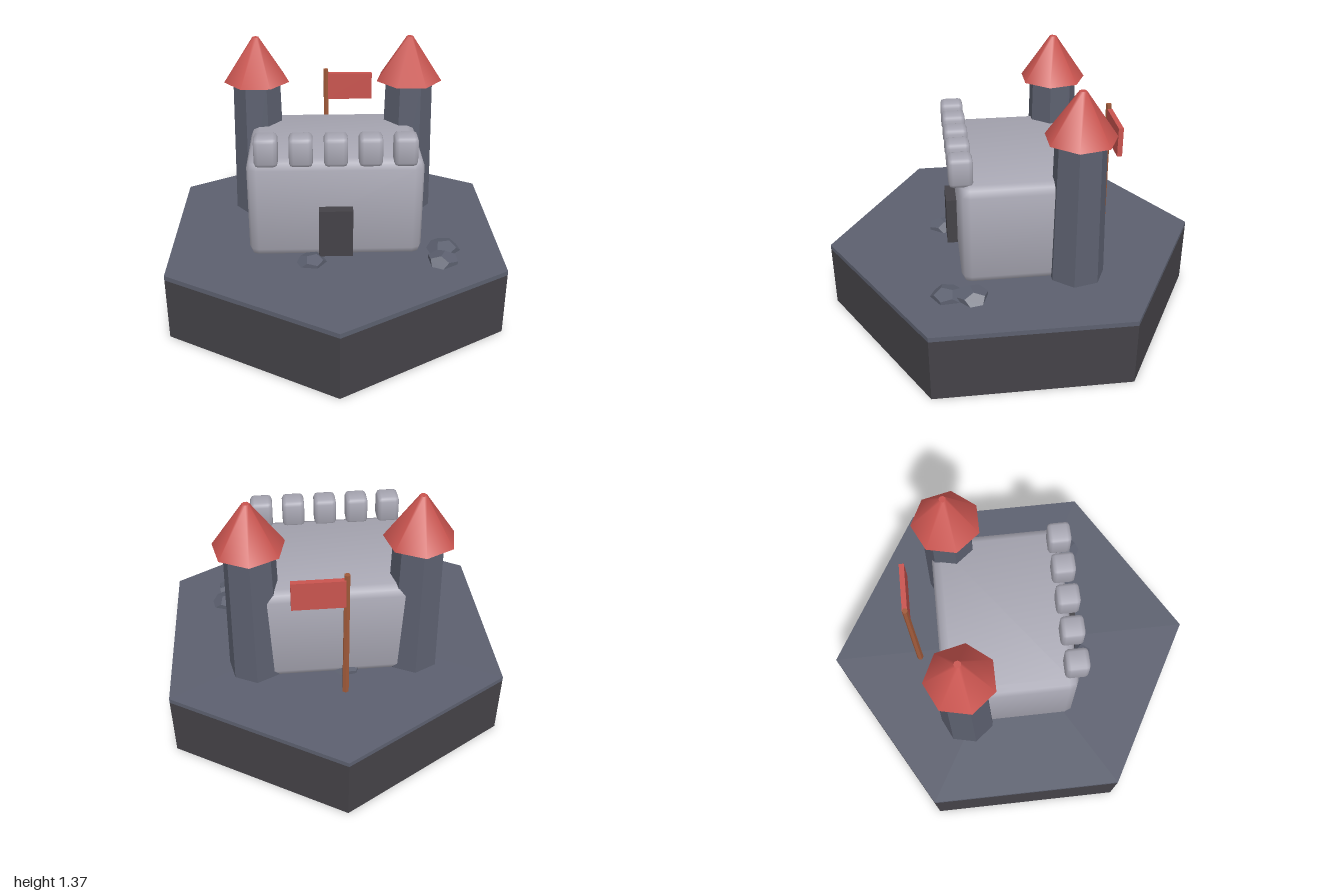
import * as THREE from 'three';
import { RoundedBoxGeometry } from 'three/addons/geometries/RoundedBoxGeometry.js';

const mat = (name, color) => {
  const m = new THREE.MeshStandardMaterial({ color });
  m.name = name;
  return m;
};

// Facetted version of a geometry
function flat(geometry) {
  const g = geometry.toNonIndexed();
  g.computeVertexNormals();
  return g;
}

// Bevelled block whose normals lean toward its corners, for a pillowy look
function softBlock(w, h, d, r) {
  const g = new RoundedBoxGeometry(w, h, d, 1, r);
  const p = g.attributes.position, n = g.attributes.normal;
  const v = new THREE.Vector3(), corner = new THREE.Vector3();
  for (let i = 0; i < p.count; i++) {
    corner.set(Math.sign(p.getX(i)), Math.sign(p.getY(i)), Math.sign(p.getZ(i))).multiplyScalar(0.3);
    v.fromBufferAttribute(n, i).add(corner).normalize();
    n.setXYZ(i, v.x, v.y, v.z);
  }
  return g;
}

export function createModel() {
  const model = new THREE.Group();
  model.name = 'castle';

  const earth = mat('dark earth', 0x444247);
  const slate = mat('slate', 0x5c606f);
  const stone = mat('pale stone', 0xa9a8b4);
  const red = mat('red', 0xc9544f);
  const wood = mat('wood', 0xa05a3a);

  const add = (name, geometry, material, x, y, z) => {
    const mesh = new THREE.Mesh(geometry, material);
    mesh.name = name;
    mesh.position.set(x, y, z);
    model.add(mesh);
    return mesh;
  };

  // Hexagonal ground tile
  add('base', flat(new THREE.CylinderGeometry(1, 1, 0.345, 6)), earth, 0, 0.1725, 0);
  add('ground', flat(new THREE.CylinderGeometry(1, 1, 0.025, 6)), slate, 0, 0.3575, 0);

  // Keep with its door and battlements
  add('keep', softBlock(0.9, 0.55, 0.69, 0.05), stone, 0, 0.627, -0.035);
  add('door', new THREE.BoxGeometry(0.174, 0.26, 0.1), earth, 0, 0.52, 0.315);
  for (let i = -2; i <= 2; i++) {
    add('merlon', softBlock(0.118, 0.153, 0.12, 0.022), stone, i * 0.173, 0.964, 0.298);
  }

  // Seven-sided towers with pointed roofs
  for (const side of [-1, 1]) {
    const x = side * 0.415, z = -0.278;
    add('tower', flat(new THREE.CylinderGeometry(0.13, 0.147, 0.77, 7, 1, false, Math.PI)), slate, x, 0.75, z);
    add('roof', new THREE.CylinderGeometry(0.018, 0.181, 0.24, 7, 1, false, Math.PI), red, x, 1.25, z);
  }

  // Flag on its pole behind the keep
  add('flagPole', flat(new THREE.CylinderGeometry(0.015, 0.018, 0.75, 6)), wood, -0.034, 0.735, -0.518);
  add('flag', new THREE.BoxGeometry(0.26, 0.155, 0.026), red, 0.101, 1.007, -0.522);

  // Rocks half sunk in the ground: x, z, radius, turn
  const rocks = [
    [-0.125, 0.385, 0.078, 0.4],
    [0.57, 0.272, 0.09, 0.2],
    [0.55, 0.393, 0.086, 1.1],
    [-0.06, -0.345, 0.074, 0.7],
  ];
  for (const [x, z, r, turn] of rocks) {
    const rock = add('rock', new THREE.DodecahedronGeometry(r), slate, x, 0.37, z);
    rock.scale.y = 0.55;
    rock.rotation.y = turn;
  }

  return model;
}
